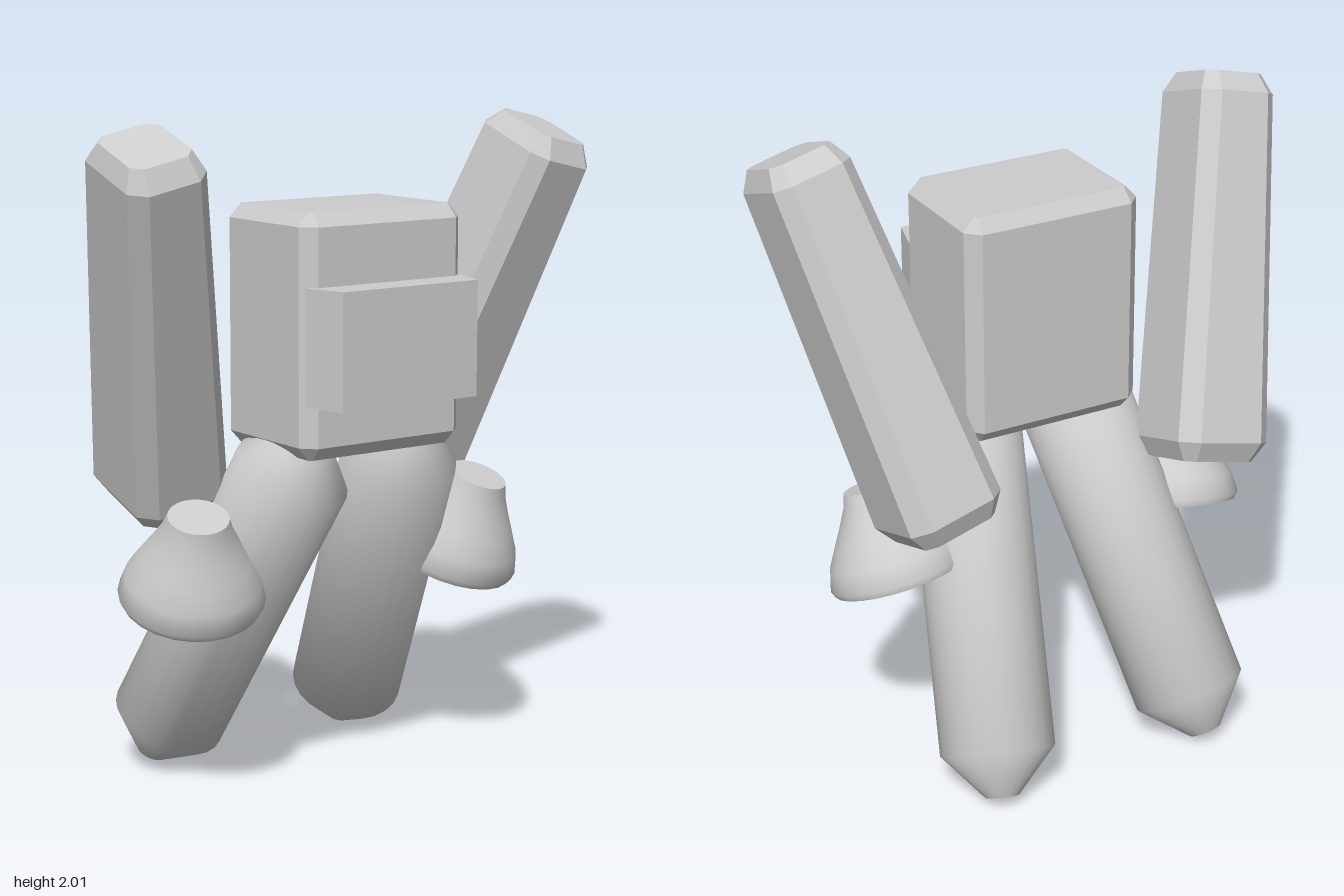
import * as THREE from 'three';
import { ConvexGeometry } from 'three/addons/geometries/ConvexGeometry.js';
import { toCreasedNormals } from 'three/addons/utils/BufferGeometryUtils.js';

const V = (x, y, z) => new THREE.Vector3(x, y, z);

// Chamfered block: sections of [height, half width, half depth, corner cut]
function chamferedBlock(sections) {
  const points = [];
  for (const [y, w, d, c] of sections) {
    for (const sx of [-1, 1]) for (const sz of [-1, 1]) {
      points.push(V(sx * (w - c), y, sz * d), V(sx * w, y, sz * (d - c)));
    }
  }
  return new ConvexGeometry(points);
}

// Turned solid from [radius, height] pairs, listed bottom to top
function turned(profile, crease) {
  const pts = profile.map(([r, y]) => new THREE.Vector2(r, y));
  return toCreasedNormals(new THREE.LatheGeometry(pts, 24), crease);
}

// Stand a mesh at a base point with its y axis aimed at a second point
function aim(mesh, base, tip) {
  const up = tip.clone().sub(base).normalize();
  const side = V(1, 0, 0).addScaledVector(up, -up.x).normalize();
  const front = side.clone().cross(up);
  mesh.quaternion.setFromRotationMatrix(new THREE.Matrix4().makeBasis(side, up, front));
  mesh.position.copy(base);
  return mesh;
}

export function createModel() {
  const model = new THREE.Group();
  model.name = 'jetPack';
  const grey = new THREE.MeshStandardMaterial({ color: 0xcccccc });
  grey.name = 'lightGrey';
  const add = (name, geometry) => {
    const mesh = new THREE.Mesh(geometry, grey);
    mesh.name = name;
    model.add(mesh);
    return mesh;
  };

  // Central pack
  add('packBody', chamferedBlock([
    [1.05, 0.25, 0.18, 0.01],
    [1.09, 0.285, 0.215, 0.04],
    [1.72, 0.285, 0.215, 0.04],
    [1.76, 0.25, 0.18, 0.01],
  ])).position.z = 0.145;

  // Panel standing proud of the pack, narrower at its front
  const panel = [];
  for (const x of [-1, 1]) for (const y of [1.21, 1.55]) {
    panel.push(V(x * 0.275, y, 0.34), V(x * 0.24, y, 0.47));
  }
  add('frontPanel', new ConvexGeometry(panel));

  // Shared shapes for both sides
  const finLength = 1.17;
  const fin = chamferedBlock([
    [0, 0.12, 0.135, 0.03],
    [0.06, 0.155, 0.178, 0.05],
    [finLength - 0.06, 0.125, 0.16, 0.045],
    [finLength, 0.098, 0.115, 0.03],
  ]);
  const tank = turned([
    [0, 0], [0.052, 0], [0.176, 0.14], [0.176, 1.11], [0.08, 1.22], [0, 1.22],
  ], 0.8);
  const nozzle = turned([
    [0, 0], [0.208, 0], [0.217, 0.02], [0.2, 0.08], [0.165, 0.14],
    [0.135, 0.19], [0.105, 0.245], [0.09, 0.29], [0, 0.29],
  ], 0.8);

  for (const [side, s] of [['left', 1], ['right', -1]]) {
    aim(add(side + 'Fin', fin), V(s * 0.438, 0.884, -0.18), V(s * 0.71, 1.956, 0.2));
    aim(add(side + 'Tank', tank), V(s * 0.362, 0.028, -0.375), V(s * 0.178, 1.085, 0.215));
    aim(add(side + 'Nozzle', nozzle), V(s * 0.477, 0.62, 0.045), V(s * 0.515, 0.89, 0.148));
  }
  return model;
}
